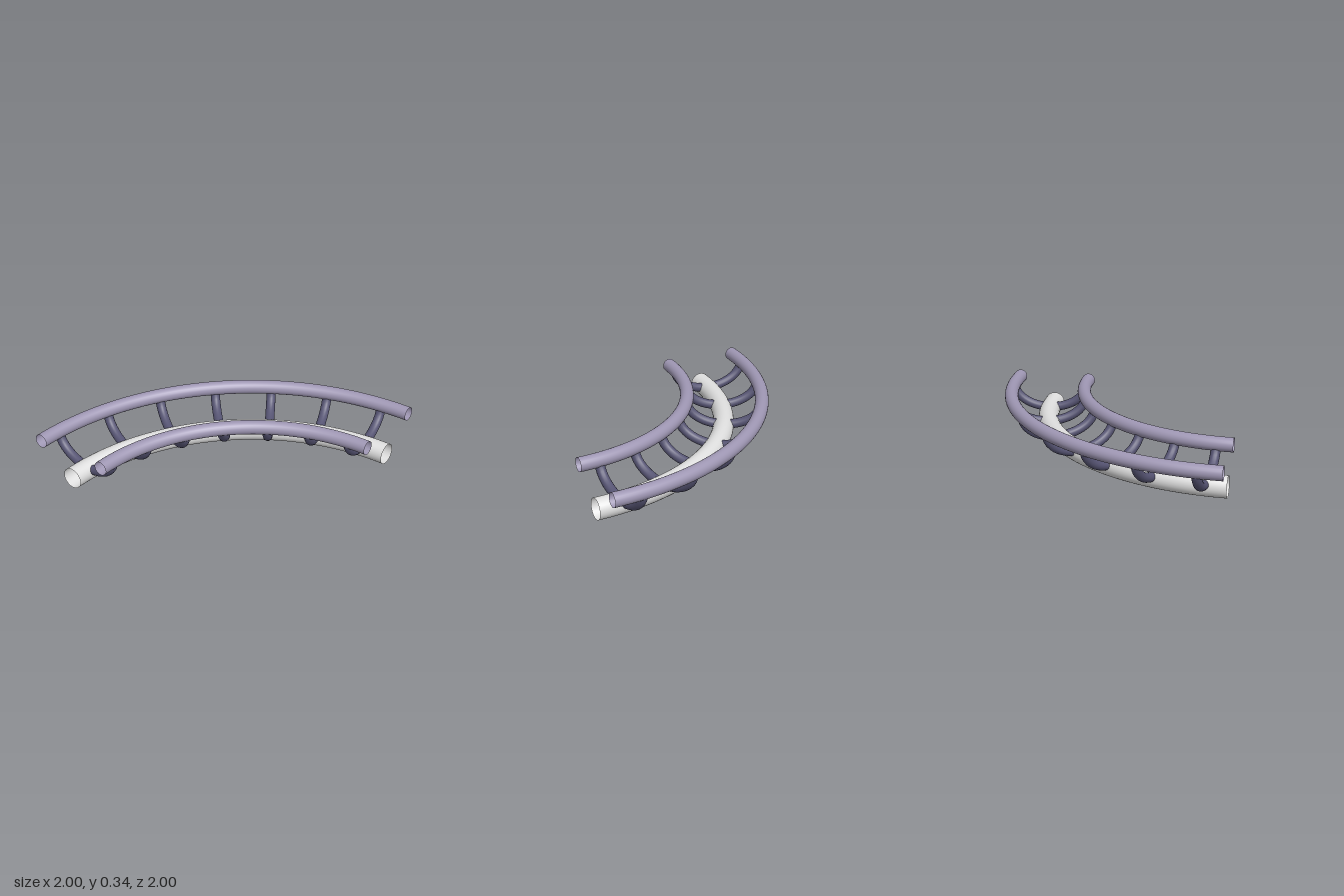
import * as THREE from 'three';

// Quarter-circle curve of coaster track, turning about (1, 1) in plan.
const CENTRE = 1, RAIL_Y = 0.287, SPINE_Y = 0.08;
const OUTER = 1.947, INNER = 1.367, SPINE = 1.655;
const TIES = 7, TIE_LOW = 0.098, FIRST_TIE = 5.4, TIE_STEP = 12.97; // angles in degrees

// Point on the track: angle around the bend, distance from its centre, height
function trackPoint(angle, radius, y) {
  return new THREE.Vector3(CENTRE - radius * Math.cos(angle), y, CENTRE - radius * Math.sin(angle));
}

class PathCurve extends THREE.Curve {
  constructor(rule) {
    super();
    this.rule = rule;
  }
  getPoint(t, target = new THREE.Vector3()) {
    return target.copy(this.rule(t));
  }
}

function paint(name, color) {
  return new THREE.MeshStandardMaterial({ name, color, side: THREE.DoubleSide });
}

function tube(name, rule, segments, radius, sides, material) {
  const mesh = new THREE.Mesh(new THREE.TubeGeometry(new PathCurve(rule), segments, radius, sides), material);
  mesh.name = name;
  return mesh;
}

export function createModel() {
  const railPaint = paint('lavender rail', 0x9f97b4);
  const spinePaint = paint('pale grey spine', 0xe0e0e0);
  const tiePaint = paint('dark violet tie', 0x565473);

  const model = new THREE.Group();
  model.name = 'curvedTrack';

  // Open-ended pipes following the bend
  const bend = (radius, y) => t => trackPoint(t * Math.PI / 2, radius, y);
  model.add(
    tube('outerRail', bend(OUTER, RAIL_Y), 64, 0.053, 24, railPaint),
    tube('innerRail', bend(INNER, RAIL_Y), 64, 0.053, 24, railPaint),
    tube('spine', bend(SPINE, SPINE_Y), 64, 0.08, 28, spinePaint)
  );

  // Cross ties: half ellipses hanging between the rails and dipping through the spine
  const half = (OUTER - INNER) / 2, middle = (OUTER + INNER) / 2, sag = RAIL_Y - TIE_LOW;
  const ties = new THREE.Group();
  ties.name = 'crossTies';
  for (let i = 0; i < TIES; i++) {
    const angle = THREE.MathUtils.degToRad(FIRST_TIE + i * TIE_STEP);
    const hang = t => {
      const a = (t - 0.5) * Math.PI;
      return trackPoint(angle, middle + half * Math.sin(a), RAIL_Y - sag * Math.cos(a));
    };
    ties.add(tube('crossTie', hang, 24, 0.036, 16, tiePaint));
  }
  model.add(ties);
  return model;
}
